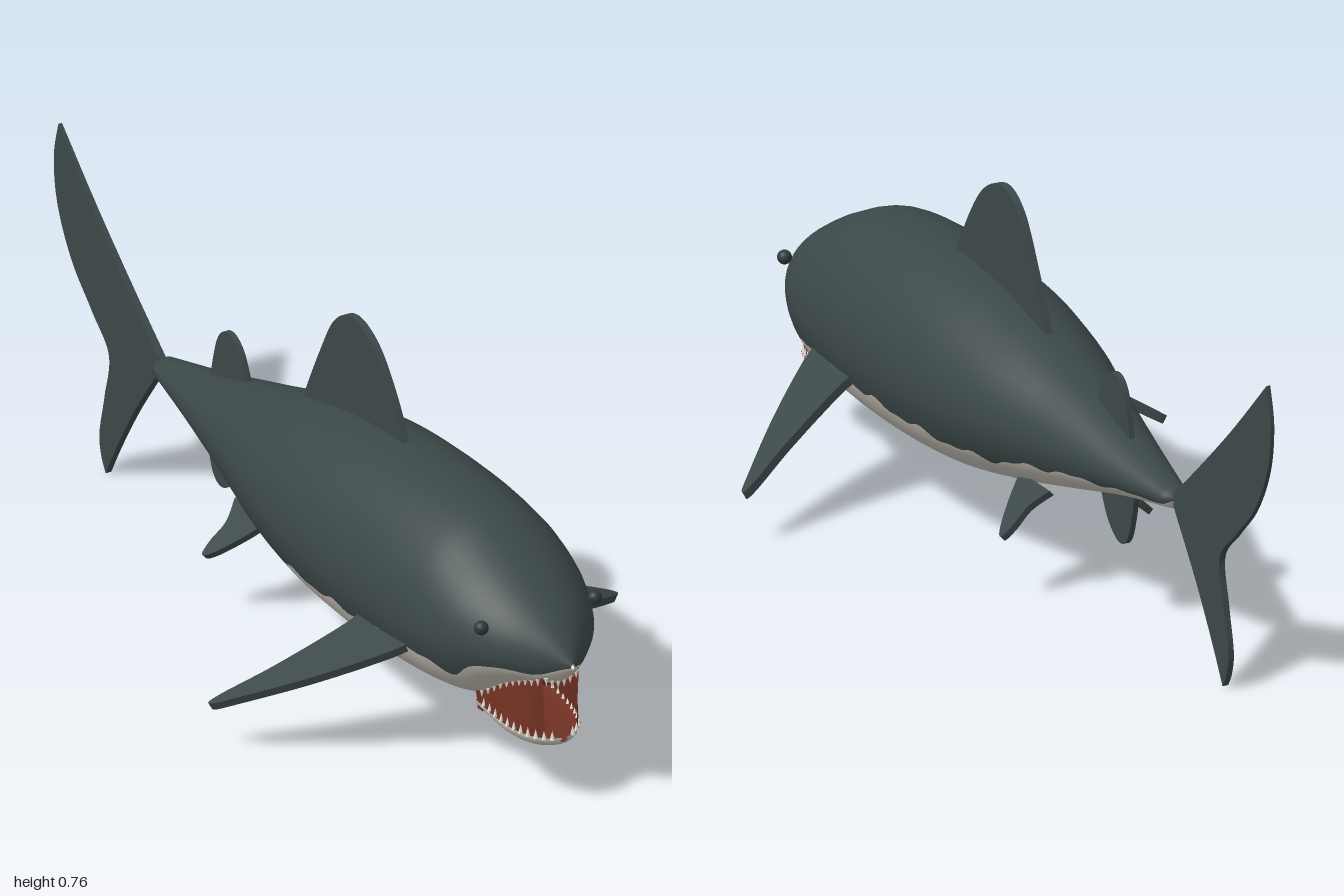
import * as THREE from 'three';

const mat = (name, color, side = THREE.FrontSide) => {
  const m = new THREE.MeshStandardMaterial({ color, side });
  m.name = name;
  return m;
};

// Body stations: z, top, bottom, height of widest point, half width, colour line
const STATIONS = [
  [1.0, 0.335, 0.322, 0.33, 0.004, 0.327],
  [0.95, 0.388, 0.276, 0.332, 0.06, 0.308],
  [0.9, 0.428, 0.26, 0.335, 0.108, 0.305],
  [0.85, 0.46, 0.235, 0.335, 0.14, 0.3],
  [0.77, 0.503, 0.18, 0.335, 0.172, 0.262],
  [0.66, 0.545, 0.152, 0.336, 0.19, 0.272],
  [0.45, 0.56, 0.138, 0.338, 0.2, 0.26],
  [0.2, 0.547, 0.148, 0.34, 0.193, 0.25],
  [0.0, 0.507, 0.182, 0.34, 0.165, 0.25],
  [-0.2, 0.45, 0.228, 0.338, 0.115, 0.285],
  [-0.4, 0.393, 0.277, 0.335, 0.07, 0.305],
  [-0.58, 0.35, 0.31, 0.331, 0.03, 0.322],
];

// Smooth value of one station column at z
function sample(table, z, c) {
  const last = table.length - 1;
  let i = 0;
  while (i < last - 1 && z < table[i + 1][0]) i++;
  const slope = (k) => {
    const a = table[Math.max(k - 1, 0)], b = table[Math.min(k + 1, last)];
    return (b[c] - a[c]) / (b[0] - a[0]);
  };
  const p = table[i], q = table[i + 1], h = q[0] - p[0];
  const t = THREE.MathUtils.clamp((z - p[0]) / h, 0, 1), t2 = t * t, t3 = t2 * t;
  return (2 * t3 - 3 * t2 + 1) * p[c] + (t3 - 2 * t2 + t) * h * slope(i)
    + (3 * t2 - 2 * t3) * q[c] + (t3 - t2) * h * slope(i + 1);
}

// Grid surface; rows run towards -z, columns run counterclockwise seen from +z
function grid(rows, cols, point, groupOf = () => 0) {
  const pos = [], parts = [[], []];
  for (let i = 0; i <= rows; i++) for (let j = 0; j <= cols; j++) pos.push(...point(i, j));
  for (let i = 0; i < rows; i++) for (let j = 0; j < cols; j++) {
    const a = i * (cols + 1) + j, c = a + cols + 1;
    parts[groupOf(j)].push(a, c, a + 1, a + 1, c, c + 1);
  }
  const g = new THREE.BufferGeometry();
  g.setAttribute('position', new THREE.Float32BufferAttribute(pos, 3));
  g.setIndex([...parts[0], ...parts[1]]);
  g.addGroup(0, parts[0].length, 0);
  if (parts[1].length) g.addGroup(parts[0].length, parts[1].length, 1);
  g.computeVertexNormals();
  return g;
}

// Plate whose outline is a chain of smooth runs that meet at corners
function plate(runs, thickness) {
  const s = new THREE.Shape();
  s.moveTo(...runs[0][0]);
  for (const run of runs) s.splineThru(run.slice(1).map((p) => new THREE.Vector2(...p)));
  return new THREE.ExtrudeGeometry(s, { depth: thickness, bevelEnabled: false, curveSegments: 18 })
    .translate(0, 0, -thickness / 2);
}

export function createModel() {
  const model = new THREE.Group();
  const dark = mat('slate skin', 0x3c4848);
  const pale = mat('pale belly', 0xc6c0b6);
  const flesh = mat('mouth flesh', 0x6e3022, THREE.DoubleSide);
  const ivory = mat('ivory teeth', 0xe8e4da);
  const eyeMat = mat('dark eye', 0x2f3939);
  const add = (name, geometry, material, parent = model) => {
    const m = new THREE.Mesh(geometry, material);
    m.name = name;
    parent.add(m);
    return m;
  };

  // Body, dark above and pale below a wavy line
  const ROWS = 110, BELLY = 9, BACK = 26;
  add('body', grid(ROWS + 1, BELLY * 2 + BACK, (i, j) => {
    const z = 1 - 1.58 * Math.min(i, ROWS) / ROWS;
    const [top, bottom, mid, w, line] = [1, 2, 3, 4, 5].map((c) => sample(STATIONS, z, c));
    const wave = (0.006 * Math.sin(38 * z) + 0.004 * Math.sin(71 * z)) * Math.min(1, w / 0.15);
    const edge = Math.asin(THREE.MathUtils.clamp((line + wave - mid) / (mid - bottom), -0.95, -0.05));
    const H = Math.PI / 2;
    let a;
    if (j <= BELLY) a = THREE.MathUtils.lerp(-H, edge, j / BELLY);
    else if (j <= BELLY + BACK) a = THREE.MathUtils.lerp(edge, Math.PI - edge, (j - BELLY) / BACK);
    else a = THREE.MathUtils.lerp(Math.PI - edge, 3 * H, (j - BELLY - BACK) / BELLY);
    const k = i > ROWS ? 0.02 : 1; // closes the tail stump
    const sin = Math.sin(a) * k;
    return [w * k * Math.cos(a), mid + sin * (sin > 0 ? top - mid : mid - bottom), i > ROWS ? -0.59 : z];
  }, (j) => (j >= BELLY && j < BELLY + BACK ? 0 : 1)), [dark, pale]);

  // Mouth: roof, cheeks and throat between the upper lip and the jaw rim
  const JAW = [ // z, rim height, bottom, half width
    [0.968, 0.158, 0.15, 0.006], [0.955, 0.16, 0.138, 0.038], [0.92, 0.163, 0.126, 0.066],
    [0.86, 0.168, 0.123, 0.082], [0.765, 0.18, 0.138, 0.086],
  ];
  const lipX = (z) => THREE.MathUtils.mapLinear(z, 0.955, 0.765, 0.042, 0.085);
  const underside = (x, z) => {
    const [bottom, mid, w] = [2, 3, 4].map((c) => sample(STATIONS, z, c));
    return mid - (mid - bottom) * Math.sqrt(Math.max(0, 1 - (x / w) ** 2));
  };
  const mouth = new THREE.Group();
  mouth.name = 'mouth';
  model.add(mouth);
  const mouthZ = (i) => 0.953 - 0.188 * i / 12;
  add('palate', grid(12, 10, (i, j) => {
    const z = mouthZ(i), x = lipX(z) * (j / 5 - 1);
    return [x, underside(x, z) - 0.004, z];
  }), flesh, mouth);
  for (const s of [1, -1]) {
    add(s > 0 ? 'leftCheek' : 'rightCheek', grid(12, 4, (i, j) => {
      const z = mouthZ(i), x = lipX(z), t = j / 4;
      const low = sample(JAW, z, 3) - 0.004;
      return [s * THREE.MathUtils.lerp(low, x, t),
        THREE.MathUtils.lerp(sample(JAW, z, 1) - 0.003, underside(x, z), t), z];
    }), flesh, mouth);
  }
  add('throat', new THREE.BoxGeometry(0.15, 0.05, 0.02).translate(0, 0.178, 0.764), flesh, mouth);

  // Lower jaw scoop with a sunken floor
  const jaw = new THREE.Group();
  jaw.name = 'lowerJaw';
  model.add(jaw);
  const jawZ = (i) => 0.968 - 0.203 * (i / 24) ** 1.6;
  add('chin', grid(24, 18, (i, j) => {
    const z = jawZ(i), a = Math.PI * (1 + j / 18), rim = sample(JAW, z, 1);
    return [sample(JAW, z, 3) * Math.cos(a), rim + (rim - sample(JAW, z, 2)) * Math.sin(a), z];
  }), pale, jaw);
  add('jawFloor', grid(24, 12, (i, j) => {
    const z = jawZ(i), u = j / 6 - 1;
    return [sample(JAW, z, 3) * u, sample(JAW, z, 1) - 0.01 * (1 - u ** 4), z];
  }), flesh, jaw);

  // Teeth along the upper lip and the jaw rim
  const tooth = new THREE.ConeGeometry(0.0055, 0.02, 7);
  const addTooth = (name, x, y, z, dir, parent) => {
    const m = add(name, tooth, ivory, parent);
    m.position.set(x, y + dir * 0.006, z);
    if (dir < 0) m.rotation.x = Math.PI;
  };
  for (let i = 0; i < 6; i++) {
    const x = -0.035 + 0.014 * i;
    addTooth('upperFrontTooth', x, underside(x, 0.955), 0.955, -1, mouth);
  }
  for (const s of [1, -1]) {
    for (let i = 0; i < 10; i++) {
      const z = 0.94 - 0.0175 * i, x = lipX(z);
      addTooth('upperSideTooth', s * x, underside(x, z), z, -1, mouth);
    }
    for (let i = 0; i < 11; i++) {
      const z = 0.96 - 0.17 * (i / 10) ** 1.3;
      addTooth('lowerTooth', s * (sample(JAW, z, 3) - 0.004), sample(JAW, z, 1), z, 1, jaw);
    }
  }

  // Upright fins, outlined in z and y
  const upright = (name, runs, thickness) =>
    add(name, plate(runs, thickness).rotateY(-Math.PI / 2), dark);
  upright('dorsalFin', [[[0.37, 0.53], [0.31, 0.64], [0.24, 0.725], [0.16, 0.757], [0.09, 0.72],
    [0.03, 0.62], [-0.035, 0.49]], [[-0.035, 0.49], [0.37, 0.53]]], 0.016);
  upright('secondDorsalFin', [[[-0.245, 0.42], [-0.28, 0.49], [-0.325, 0.515], [-0.365, 0.485],
    [-0.395, 0.38]], [[-0.395, 0.38], [-0.245, 0.42]]], 0.012);
  upright('analFin', [[[-0.26, 0.26], [-0.295, 0.195], [-0.345, 0.16], [-0.385, 0.185],
    [-0.415, 0.29]], [[-0.415, 0.29], [-0.26, 0.26]]], 0.012);
  const tail = upright('tailFin', [
    [[-0.588, 0.345], [-0.7, 0.44], [-0.84, 0.565], [-0.982, 0.703]],
    [[-0.982, 0.703], [-1.0, 0.62], [-0.985, 0.52], [-0.93, 0.42], [-0.85, 0.34], [-0.783, 0.27],
      [-0.8, 0.17], [-0.82, 0.08], [-0.812, 0.03], [-0.795, 0.0]],
    [[-0.795, 0.0], [-0.75, 0.08], [-0.68, 0.19], [-0.588, 0.315]],
    [[-0.588, 0.315], [-0.588, 0.345]]], 0.018);
  // The tail fin thins towards its rear edge
  const p = tail.geometry.attributes.position;
  for (let i = 0; i < p.count; i++) {
    p.setX(i, p.getX(i) * THREE.MathUtils.mapLinear(p.getZ(i), -0.588, -1, 1, 0.45));
  }
  tail.geometry.computeVertexNormals();

  // Paired fins and eyes; outlines run outward along the fin and in -z
  const pectoral = [[[0, -0.66], [0.06, -0.635], [0.2, -0.535], [0.33, -0.425], [0.371, -0.385],
    [0.345, -0.383], [0.22, -0.43], [0.06, -0.475], [0, -0.47]], [[0, -0.47], [0, -0.66]]];
  const pelvic = [[[0, 0.05], [0.06, 0.085], [0.115, 0.125], [0.132, 0.15], [0.1, 0.157],
    [0.05, 0.155], [0, 0.18]], [[0, 0.18], [0, 0.05]]];
  for (const s of [1, -1]) {
    const side = s > 0 ? 'left' : 'right';
    const paired = (name, runs, thickness, x, y, droop) => {
      const g = plate(runs, thickness).rotateX(-Math.PI / 2).rotateZ(-droop).translate(x, y, 0);
      if (s < 0) g.rotateZ(0).applyMatrix4(new THREE.Matrix4().makeScale(-1, 1, 1));
      if (s < 0) { // restore outward facing after mirroring
        const q = g.attributes.position, a = new THREE.Vector3(), b = new THREE.Vector3();
        for (let i = 0; i < q.count; i += 3) {
          a.fromBufferAttribute(q, i + 1);
          b.fromBufferAttribute(q, i + 2);
          q.setXYZ(i + 1, b.x, b.y, b.z);
          q.setXYZ(i + 2, a.x, a.y, a.z);
        }
        g.computeVertexNormals();
      }
      add(side + name, g, dark);
    };
    paired('PectoralFin', pectoral, 0.018, 0.152, 0.284, 0.515);
    paired('PelvicFin', pelvic, 0.014, 0.072, 0.222, 0.76);
    add(side + 'Eye', new THREE.SphereGeometry(0.015, 20, 14), eyeMat).position.set(s * 0.133, 0.394, 0.865);
  }
  return model;
}
